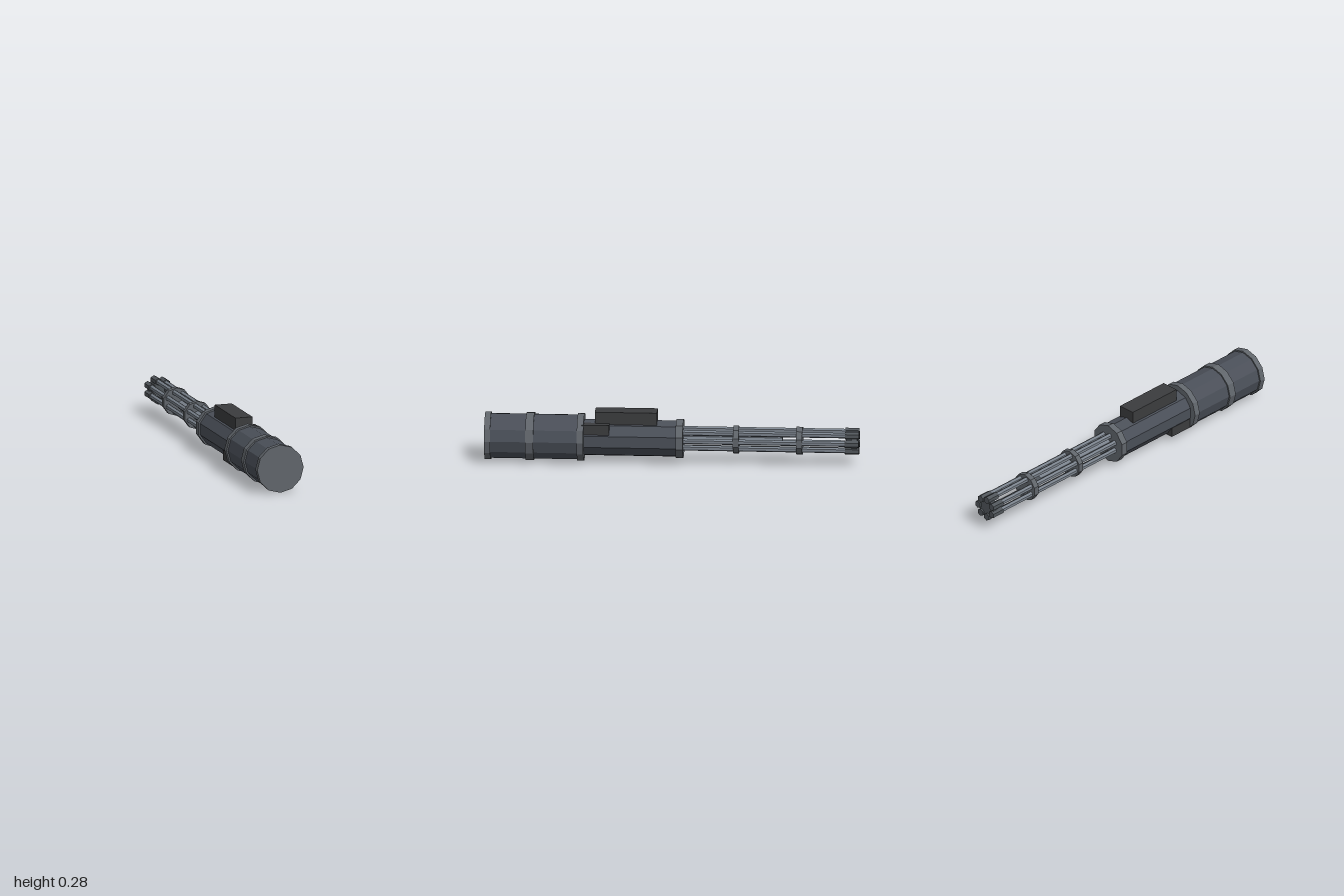
import * as THREE from 'three';

const AXIS_Y = 0.131;

const paint = (color) => new THREE.MeshStandardMaterial({ color, flatShading: true });

export function createModel() {
  const model = new THREE.Group();
  model.name = 'rotaryGun';

  const bodyMat = paint(0x4a4f58);
  const bandMat = paint(0x60656b);
  const boxMat = paint(0x3b3c3e);
  const barrelMat = paint(0x7a828c);
  const tipMat = paint(0x50555a);

  // Faceted cylinder along z between z0 and z1, offset (x, y) from the gun axis
  function drum(name, radius, z0, z1, sides, material, x = 0, y = 0) {
    const geometry = new THREE.CylinderGeometry(radius, radius, z1 - z0, sides).rotateX(Math.PI / 2);
    const mesh = new THREE.Mesh(geometry, material);
    mesh.position.set(x, AXIS_Y + y, (z0 + z1) / 2);
    mesh.name = name;
    model.add(mesh);
  }

  // Box given by its corner limits
  function block(name, x0, x1, y0, y1, z0, z1) {
    const mesh = new THREE.Mesh(new THREE.BoxGeometry(x1 - x0, y1 - y0, z1 - z0), boxMat);
    mesh.position.set((x0 + x1) / 2, (y0 + y1) / 2, (z0 + z1) / 2);
    mesh.name = name;
    model.add(mesh);
  }

  // Motor drum with three raised bands
  drum('motorDrum', 0.123, 0.48, 0.995, 12, bodyMat);
  [[0.47, 0.505], [0.737, 0.78], [0.968, 1]].forEach(([z0, z1], i) =>
    drum('drumBand' + (i + 1), 0.131, z0, z1, 12, bandMat));

  // Receiver housing and its end flange
  drum('housing', 0.1, -0.03, 0.48, 10, bodyMat);
  drum('housingFlange', 0.109, -0.06, -0.022, 10, bandMat);

  // Top box and the two opposed side boxes
  block('topBox', -0.048, 0.048, 0.2, 0.283, 0.08, 0.412);
  block('leftBox', 0.04, 0.091, 0.168, 0.222, 0.333, 0.48);
  block('rightBox', -0.091, -0.04, 0.04, 0.094, 0.333, 0.48);

  // Seven barrels with thicker muzzle tips
  const count = 7, ringRadius = 0.053;
  for (let i = 0; i < count; i++) {
    const angle = (i / count) * Math.PI * 2;
    const x = ringRadius * Math.cos(angle), y = ringRadius * Math.sin(angle);
    drum('barrel' + (i + 1), 0.015, -0.99, -0.04, 6, barrelMat, x, y);
    drum('muzzleTip' + (i + 1), 0.021, -1, -0.925, 6, tipMat, x, y);
  }

  // Central shaft, clamp rings and muzzle hub
  drum('centralShaft', 0.025, -0.59, -0.04, 8, barrelMat);
  drum('clampRing1', 0.077, -0.357, -0.327, 10, bandMat);
  drum('clampRing2', 0.077, -0.697, -0.665, 10, bandMat);
  drum('muzzleHub', 0.055, -0.99, -0.96, 10, tipMat);

  return model;
}
